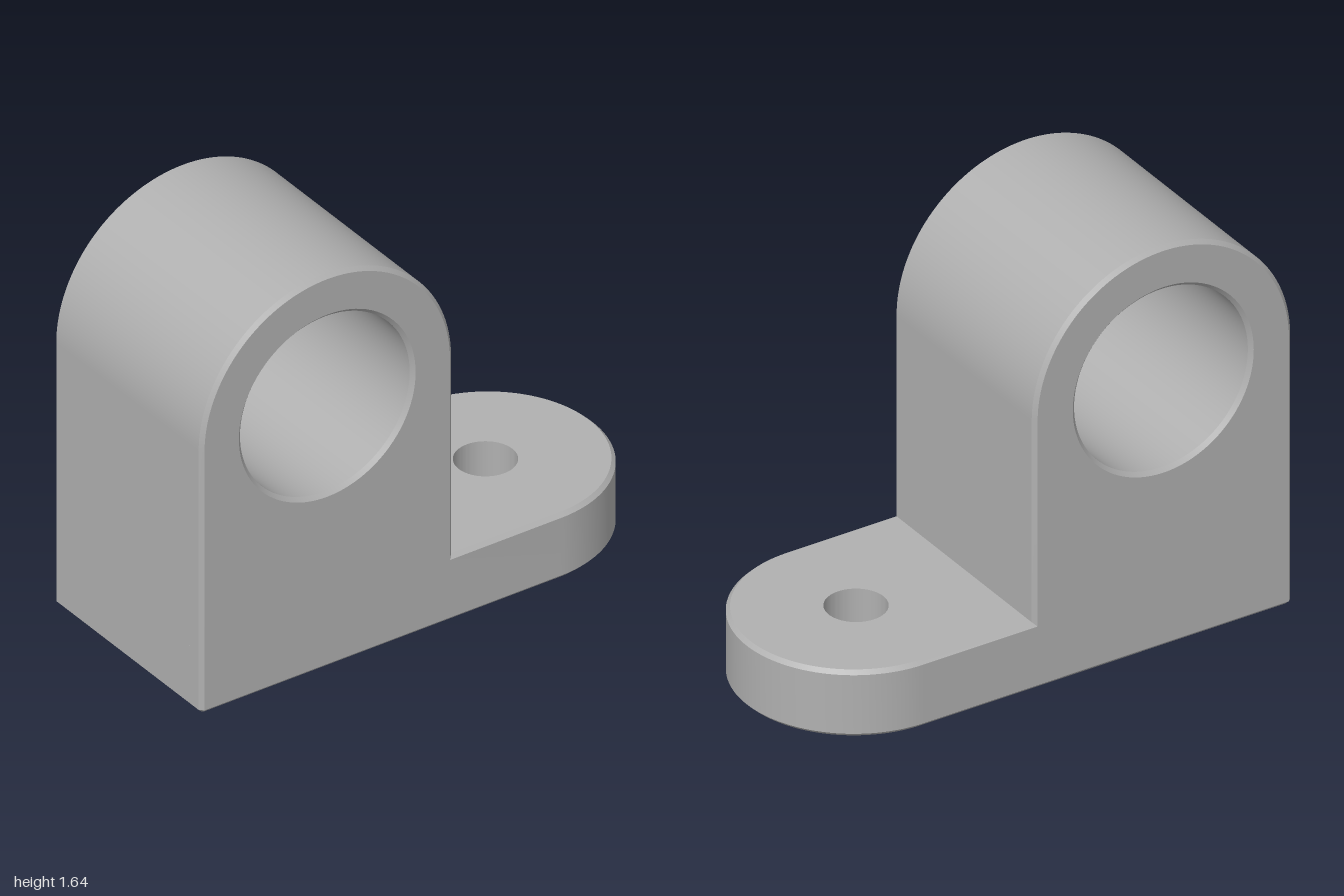
import * as THREE from 'three';
import { toCreasedNormals } from 'three/addons/utils/BufferGeometryUtils.js';

const CHAMFER = 0.015;
const HALF_DEPTH = 0.45;
const FOOT_HEIGHT = 0.27;
const BORE = { x: -0.457, y: 1.093, r: 0.365 };
const BOLT = { x: 0.54, r: 0.115 };

function circleHole(x, y, r) {
  return new THREE.Path().absarc(x, y, r, 0, Math.PI * 2, true);
}

// Extrusion whose overall size stays at the outline, with 45 degree chamfers
function chamferedExtrude(shape, thickness) {
  const geometry = new THREE.ExtrudeGeometry(shape, {
    depth: thickness - 2 * CHAMFER,
    bevelEnabled: true,
    bevelSegments: 1,
    bevelSize: CHAMFER,
    bevelThickness: CHAMFER,
    bevelOffset: -CHAMFER,
    curveSegments: 48,
  });
  geometry.translate(0, 0, CHAMFER);
  return geometry;
}

// Flat foot: square at the left end, fully rounded at the right end
function footGeometry() {
  const h = HALF_DEPTH, c = CHAMFER;
  const plan = new THREE.Shape();
  plan.moveTo(-1, h - c);
  plan.lineTo(-1, -h + c);
  plan.lineTo(-1 + c, -h);
  plan.absarc(1 - h, 0, h, -Math.PI / 2, Math.PI / 2, false);
  plan.lineTo(-1 + c, h);
  plan.holes.push(circleHole(BOLT.x, 0, BOLT.r));
  const geometry = chamferedExtrude(plan, FOOT_HEIGHT);

  // Keep the bolt hole straight, without a chamfer
  const p = geometry.attributes.position;
  for (let i = 0; i < p.count; i++) {
    const dx = p.getX(i) - BOLT.x, dy = p.getY(i);
    const d = Math.hypot(dx, dy);
    if (d < BOLT.r + 2 * CHAMFER) {
      p.setXY(i, BOLT.x + dx * BOLT.r / d, dy * BOLT.r / d);
    }
  }
  geometry.rotateX(-Math.PI / 2);
  geometry.computeVertexNormals();
  return toCreasedNormals(geometry, 0.4);
}

// Upright block with a round top and a large bore
function housingGeometry() {
  const R = BORE.x + 1;
  const base = FOOT_HEIGHT - 2 * CHAMFER; // lower chamfer is sunk into the foot
  const profile = new THREE.Shape();
  profile.moveTo(-1, base);
  profile.lineTo(BORE.x + R, base);
  profile.absarc(BORE.x, BORE.y, R, 0, Math.PI, false);
  profile.holes.push(circleHole(BORE.x, BORE.y, BORE.r));
  const geometry = chamferedExtrude(profile, 2 * HALF_DEPTH);
  geometry.translate(0, 0, -HALF_DEPTH);
  return toCreasedNormals(geometry, 0.4);
}

export function createModel() {
  const grey = new THREE.MeshStandardMaterial({ color: 0xb0b0b0 });
  grey.name = 'machined grey';

  const model = new THREE.Group();
  model.name = 'bearing bracket';
  const parts = { foot: footGeometry(), housing: housingGeometry() };
  for (const [name, geometry] of Object.entries(parts)) {
    const mesh = new THREE.Mesh(geometry, grey);
    mesh.name = name;
    model.add(mesh);
  }
  return model;
}
